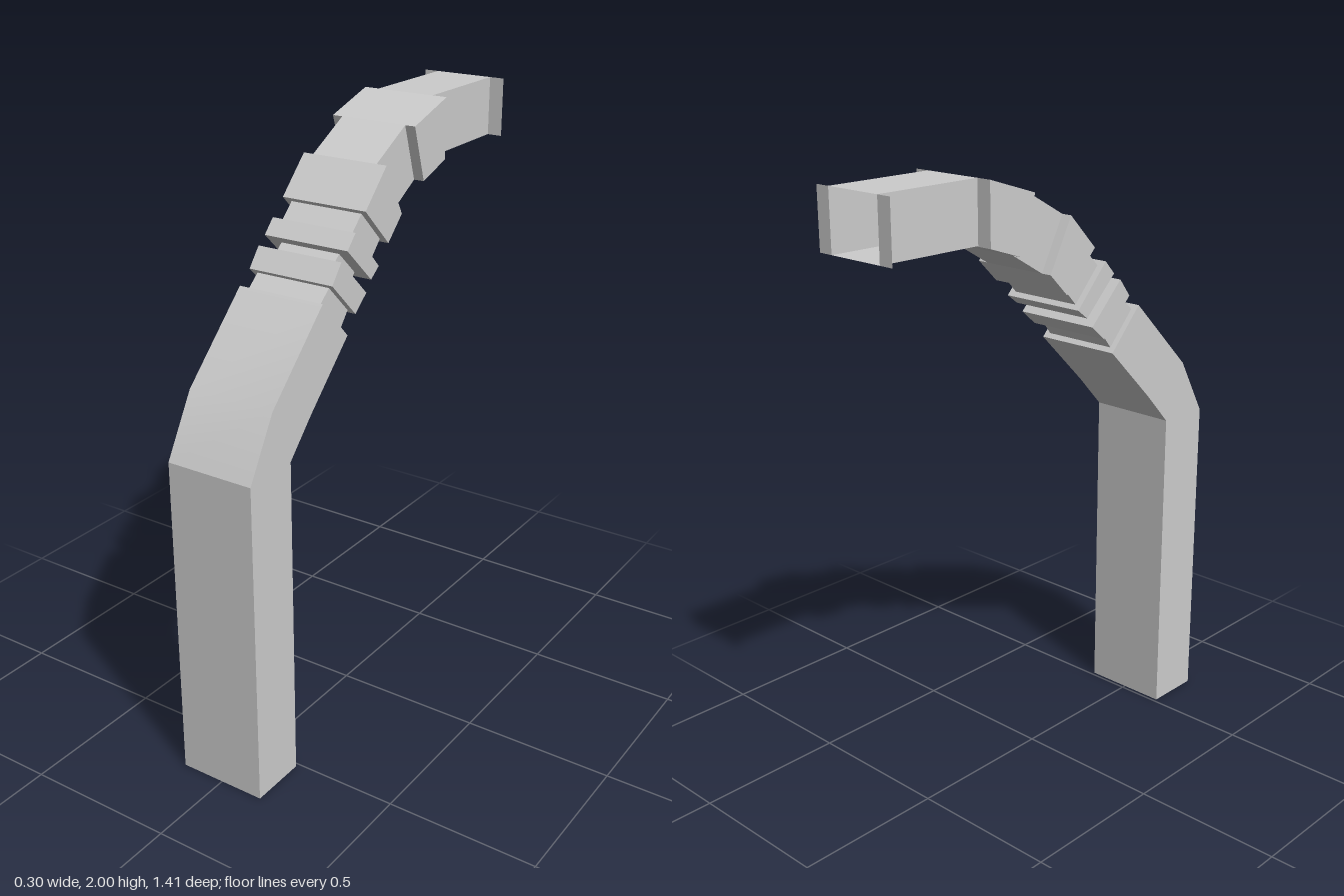
import * as THREE from 'three';
import { toCreasedNormals } from 'three/addons/utils/BufferGeometryUtils.js';

const material = new THREE.MeshStandardMaterial({ color: 0xcccccc, side: THREE.DoubleSide });

// Each section is a cut across the pipe: [outer z, outer y, inner z, inner y].
function ring([oz, oy, iz, iy], w) {
  return [[-w, oy, oz], [w, oy, oz], [w, iy, iz], [-w, iy, iz]];
}

// Joins rectangular sections into a box-like duct of half width w.
function duct(name, sections, w, endCap = true) {
  const rings = sections.map((s) => ring(s, w));
  const pos = [];
  const quad = (a, b, c, d) => pos.push(...a, ...b, ...c, ...a, ...c, ...d);
  for (let i = 0; i < rings.length - 1; i++) {
    const [r, s] = [rings[i], rings[i + 1]];
    for (let k = 0; k < 4; k++) {
      const n = (k + 1) % 4;
      quad(r[k], r[n], s[n], s[k]);
    }
  }
  const first = rings[0], last = rings[rings.length - 1];
  quad(first[0], first[3], first[2], first[1]);
  if (endCap) quad(...last);
  const geometry = new THREE.BufferGeometry();
  geometry.setAttribute('position', new THREE.Float32BufferAttribute(pos, 3));
  const mesh = new THREE.Mesh(toCreasedNormals(geometry, 0.4), material);
  mesh.name = name;
  return mesh;
}

// Pulls a section in from its outer and inner edge by a fraction.
function inset([oz, oy, iz, iy], f) {
  const dz = (iz - oz) * f, dy = (iy - oy) * f;
  return [oz + dz, oy + dy, iz - dz, iy - dy];
}

export function createModel() {
  const group = new THREE.Group();
  group.name = 'bentDuct';
  const wide = 0.15;

  const bodyTop = [0.345, 1.52, 0.217, 1.385];
  const lowerRib = [[0.296, 1.56, 0.175, 1.44], [0.249, 1.62, 0.116, 1.49]];
  const upperRib = [[0.217, 1.645, 0.09, 1.524], [0.175, 1.69, 0.048, 1.556]];
  const collar = [[0.122, 1.741, -0.005, 1.614], [0.01, 1.855, -0.08, 1.688]];
  const elbow = [[-0.148, 1.942, -0.206, 1.762], [-0.333, 2, -0.333, 1.805]];

  // Upright leg with its bent shoulder
  group.add(duct('leg', [
    [0.705, 0, 0.513, 0],
    [0.705, 1.08, 0.513, 1.085],
    [0.595, 1.273, 0.41, 1.195],
    bodyTop,
  ], wide));

  // Ribs and wide blocks
  group.add(duct('lowerRib', lowerRib, wide));
  group.add(duct('upperRib', upperRib, wide));
  group.add(duct('collar', collar, wide));
  group.add(duct('elbowBlock', elbow, wide));

  // Recessed necks in the grooves between them
  const necks = [
    [bodyTop, lowerRib[0], 0.1, 0.13],
    [lowerRib[1], upperRib[0], 0.18, 0.105],
    [upperRib[1], collar[0], 0.1, 0.127],
  ];
  necks.forEach(([a, b, f, w], i) => group.add(duct('neck' + (i + 1), [inset(a, f), inset(b, f)], w)));

  // Narrow link between collar and elbow block
  group.add(duct('link', [collar[1], elbow[0]], 0.115));

  // Open horizontal spout
  group.add(duct('spout', [[-0.333, 2, -0.333, 1.807], [-0.705, 2, -0.705, 1.81]], 0.1, false));

  // Thin flaps beside the spout mouth
  for (const side of [1, -1]) {
    const flap = new THREE.Mesh(new THREE.PlaneGeometry(0.05, 0.19), material);
    flap.name = side > 0 ? 'leftFlap' : 'rightFlap';
    flap.rotation.y = Math.PI;
    flap.position.set(side * 0.125, 1.905, -0.705);
    group.add(flap);
  }
  return group;
}
